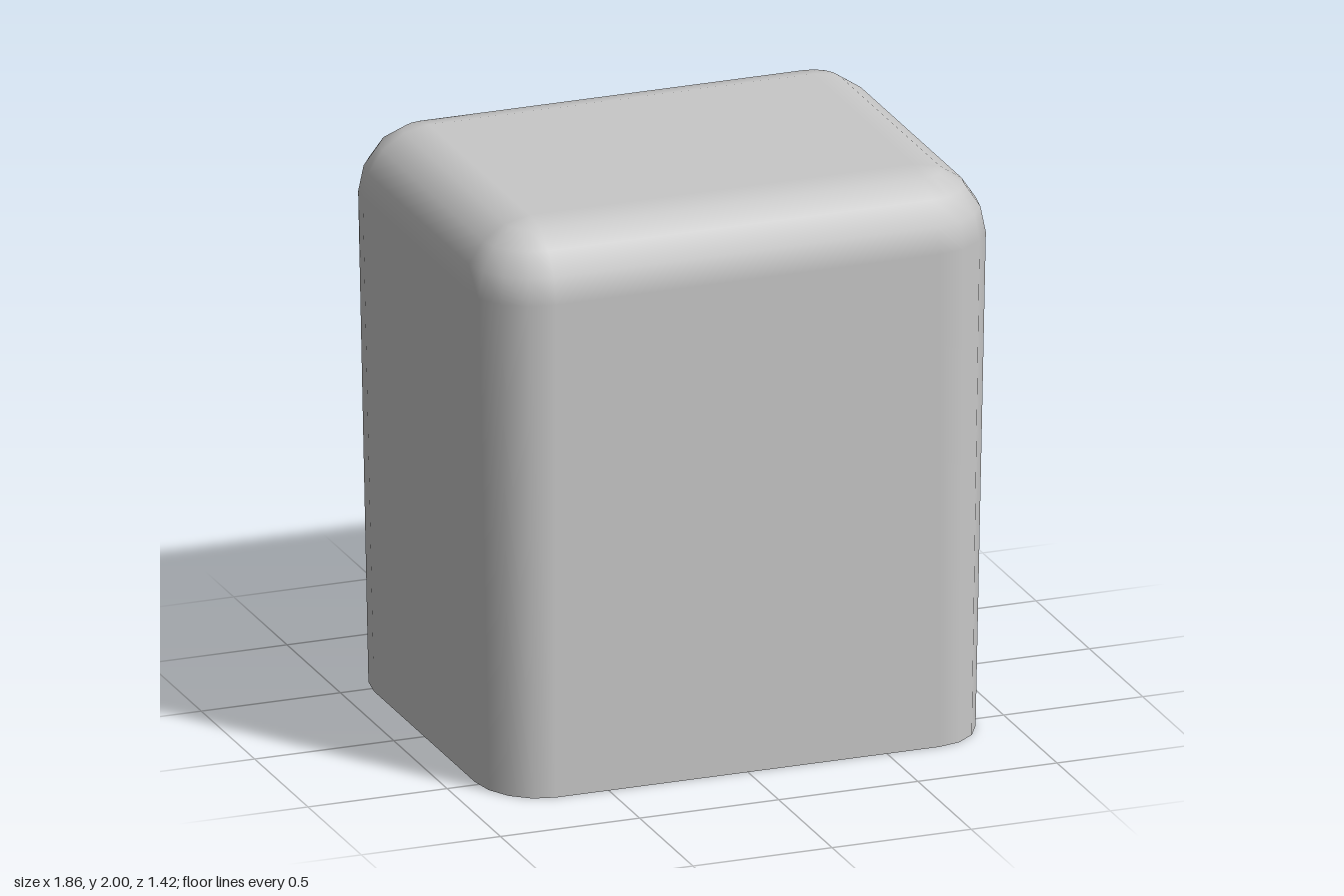
import * as THREE from 'three';

const STEPS = 4; // segments per rounded corner
const COLS = 4 * (STEPS + 1);
const HALF_Z = 0.712, CORE_X = 0.69, CORE_Z = 0.472, RADIUS = 0.24, HEIGHT = 2;
const POCKET = { halfW: 0.666, halfH: 0.412, y: 0.518, corner: 0.09, depth: 0.08 };

// Corner sign and direction for each column of a rounded rectangle
function column(i) {
  const q = Math.floor(i / (STEPS + 1));
  const a = (q + (i % (STEPS + 1)) / STEPS) * Math.PI / 2;
  return { sx: q === 0 || q === 3 ? 1 : -1, sy: q < 2 ? 1 : -1, c: Math.cos(a), s: Math.sin(a) };
}

// Joins rounded-rectangle rings; at(column, row) returns [position, normal]
function loft(rows, at, skipQuad = () => false, cap = []) {
  const pos = [], nor = [], idx = [];
  for (let j = 0; j < rows; j++) {
    for (let i = 0; i < COLS; i++) {
      const [p, n] = at(column(i), j);
      pos.push(...p);
      nor.push(...n);
      if (j === rows - 1 || skipQuad(i, j)) continue;
      const k = (i + 1) % COLS, lo = j * COLS, hi = lo + COLS;
      idx.push(lo + i, hi + i, hi + k, lo + i, hi + k, lo + k);
    }
  }
  cap.forEach(i => idx.push((rows - 1) * COLS + i));
  const g = new THREE.BufferGeometry();
  g.setAttribute('position', new THREE.Float32BufferAttribute(pos, 3));
  g.setAttribute('normal', new THREE.Float32BufferAttribute(nor, 3));
  g.setIndex(idx);
  return g;
}

// Rounded outline of the pocket, shrunk by inset
function pocketOutline(inset) {
  const w = POCKET.halfW - POCKET.corner, h = POCKET.halfH - POCKET.corner, r = POCKET.corner - inset;
  return Array.from({ length: COLS }, (_, i) => {
    const { sx, sy, c, s } = column(i);
    return new THREE.Vector2(sx * w + c * r, POCKET.y + sy * h + s * r);
  });
}

export function createModel() {
  const group = new THREE.Group();
  const grey = new THREE.MeshStandardMaterial({ color: 0xc8c8c8, side: THREE.DoubleSide });
  grey.name = 'grey';
  const add = (name, geometry, parent = group) => {
    const mesh = new THREE.Mesh(geometry, grey);
    mesh.name = name;
    parent.add(mesh);
    return mesh;
  };

  // Open-bottomed shell: slightly tapered sides, rounded shoulders, flat top
  const n = STEPS + 1, backColumn = 3 * n - 1;
  add('shell', loft(STEPS + 2, ({ sx, sy, c, s }, j) => {
    const t = Math.max(0, j - 1) / STEPS * Math.PI / 2;
    const ct = j === STEPS + 1 ? 0 : Math.cos(t), st = Math.sin(t);
    const rx = j === 0 ? 0.2 : RADIUS * ct;
    const y = j === 0 ? 0 : HEIGHT - RADIUS + RADIUS * st;
    return [[sx * CORE_X + c * rx, y, sy * CORE_Z + s * RADIUS * ct], [c * ct, st, s * ct]];
  }, (i, j) => i === backColumn && j === 0, [0, 3 * n, 2 * n, 0, 2 * n, n]));

  // Back assembly is modelled facing +z, then turned round
  const back = new THREE.Group();
  back.name = 'back';
  back.position.z = -HALF_Z;
  back.rotation.y = Math.PI;
  group.add(back);

  // Back wall with the pocket opening
  const top = HEIGHT - RADIUS;
  const wall = new THREE.Shape([
    new THREE.Vector2(-CORE_X, 0), new THREE.Vector2(CORE_X, 0),
    new THREE.Vector2(CORE_X, top), new THREE.Vector2(-CORE_X, top),
  ]);
  wall.holes.push(new THREE.Path(pocketOutline(0).reverse()));
  add('backWall', new THREE.ShapeGeometry(wall), back);

  // Concave pocket edge, from the floor out to the wall
  const d = POCKET.depth, w = POCKET.halfW - POCKET.corner, h = POCKET.halfH - POCKET.corner, rows = 7;
  add('pocketEdge', loft(rows, ({ sx, sy, c, s }, j) => {
    const t = (1 - j / (rows - 1)) * Math.PI / 2, ct = Math.cos(t), st = Math.sin(t);
    const r = POCKET.corner - d * (1 - ct);
    return [[sx * w + c * r, POCKET.y + sy * h + s * r, -d * st], [-c * ct, -s * ct, st]];
  }), back);

  // Pocket floor
  add('pocketFloor', new THREE.ShapeGeometry(new THREE.Shape(pocketOutline(d))), back).position.z = -d;

  return group;
}
